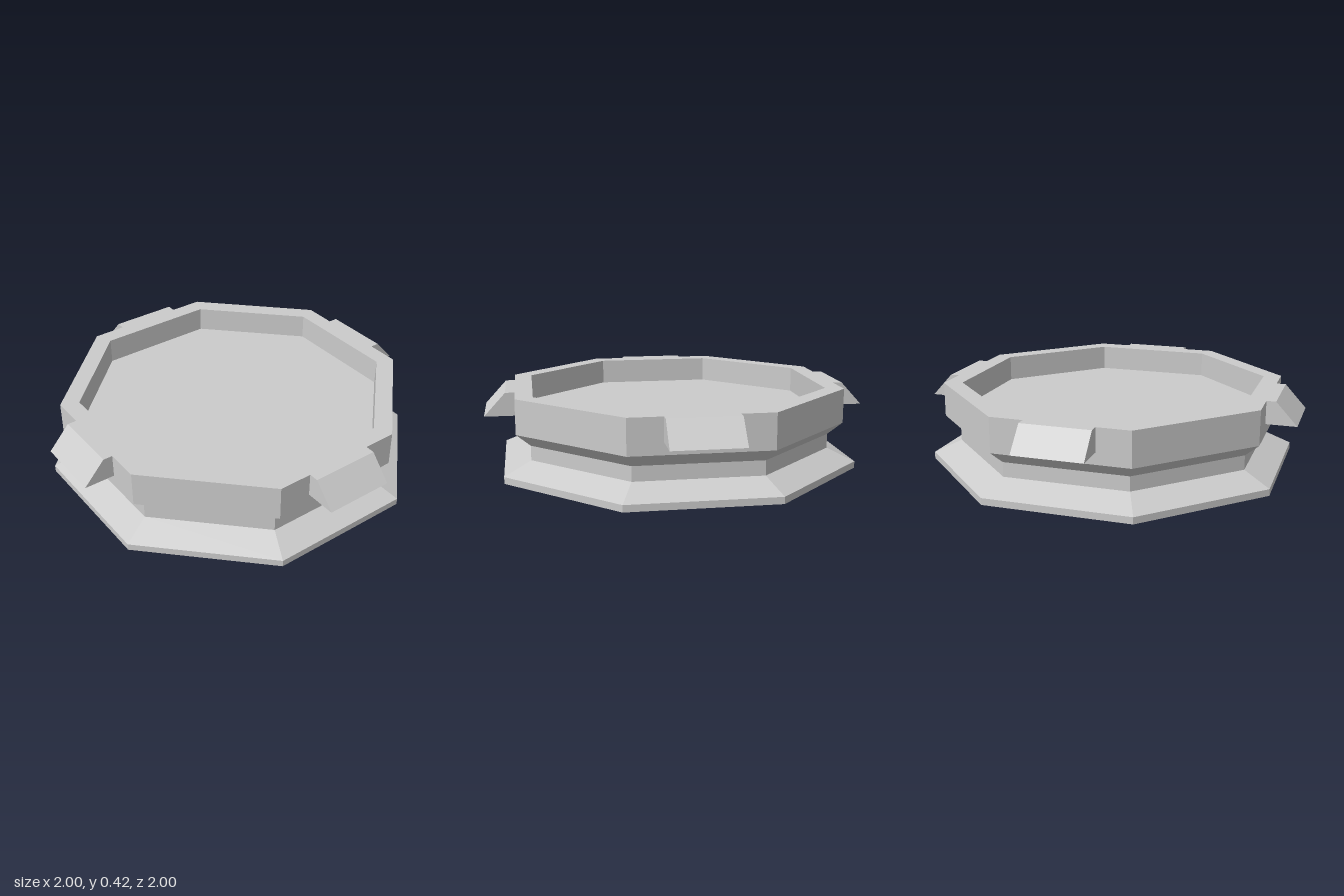
import * as THREE from 'three';

const material = new THREE.MeshStandardMaterial({ color: 0xcccccc, flatShading: true });

// Octagonal ring body: profile points are [distance to flat side, height]
function octagon(name, profile) {
  const k = 1 / Math.cos(Math.PI / 8);
  const points = profile.map(([r, y]) => new THREE.Vector2(r * k, y));
  const mesh = new THREE.Mesh(new THREE.LatheGeometry(points, 8, Math.PI / 8), material);
  mesh.name = name;
  return mesh;
}

// Wedge-shaped tab, profile drawn outward from the rim
function tabGeometry() {
  const shape = new THREE.Shape([[0.83, 0.3], [1, 0.3], [0.89, 0.42], [0.83, 0.42]]
    .map(([x, y]) => new THREE.Vector2(x, y)));
  const geometry = new THREE.ExtrudeGeometry(shape, { depth: 0.354, bevelEnabled: false });
  return geometry.translate(0, 0, -0.177);
}

export function createModel() {
  const model = new THREE.Group();
  model.name = 'octagonalPedestal';

  // Flared foot, narrow waist, upper rim and recessed floor
  model.add(octagon('body', [
    [0, 0], [0.906, 0], [0.906, 0.035], [0.77, 0.1], [0.77, 0.175],
    [0.842, 0.24], [0.842, 0.42], [0.752, 0.42], [0.752, 0.285], [0, 0.285],
  ]));

  // One tab on each of the four main sides
  const tab = tabGeometry();
  for (let i = 0; i < 4; i++) {
    const mesh = new THREE.Mesh(tab, material);
    mesh.name = ['leftTab', 'backTab', 'rightTab', 'frontTab'][i];
    mesh.rotation.y = i * Math.PI / 2;
    model.add(mesh);
  }
  return model;
}
